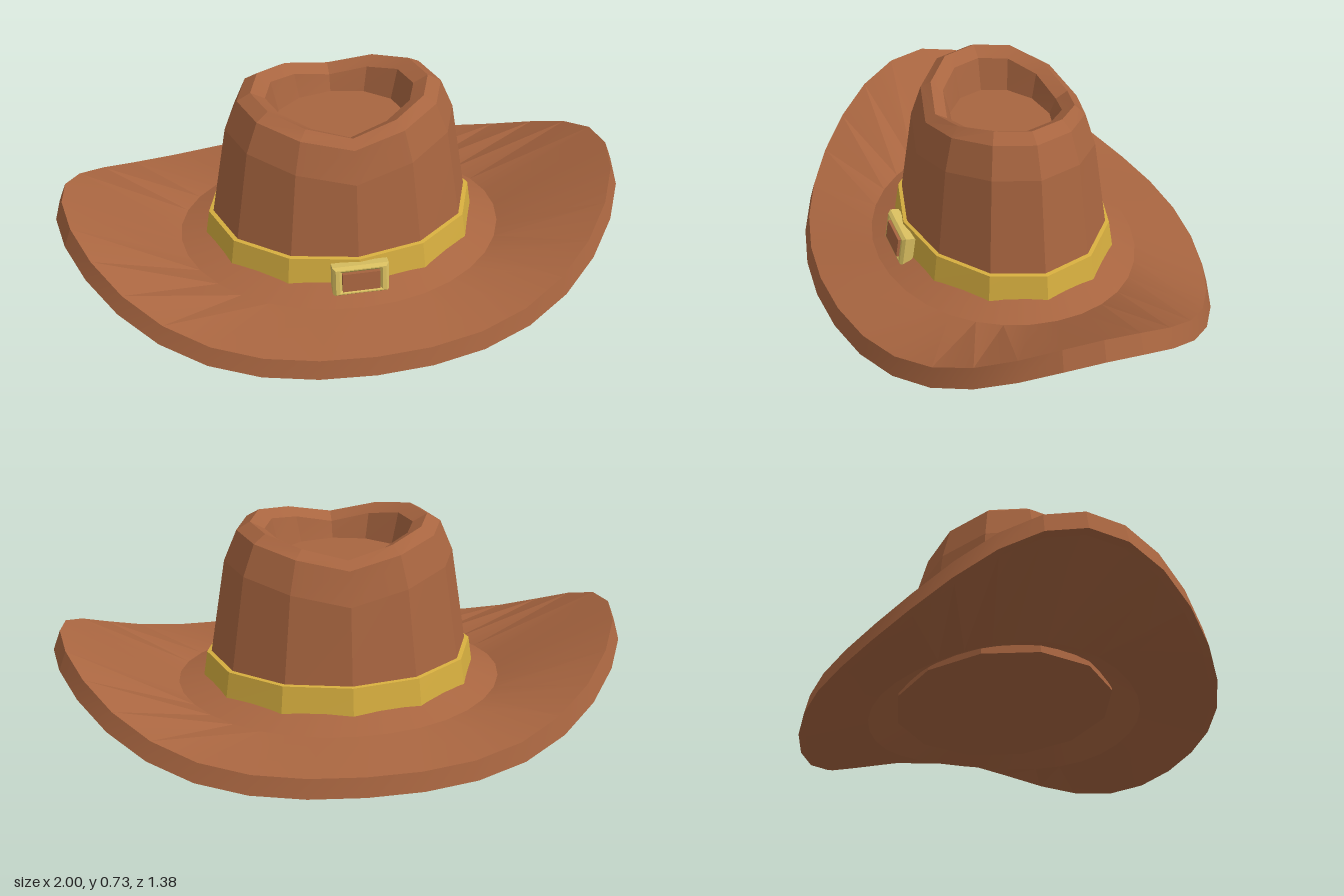
import * as THREE from 'three';
import { mergeGeometries, toCreasedNormals } from 'three/addons/utils/BufferGeometryUtils.js';

const leather = new THREE.MeshStandardMaterial({ color: 0xa86540 });
leather.name = 'brown leather';
const bandGold = new THREE.MeshStandardMaterial({ color: 0xd6ae3f });
bandGold.name = 'gold band';
const buckleGold = new THREE.MeshStandardMaterial({ color: 0xd9bf60 });
buckleGold.name = 'pale gold buckle';

// Skin over elliptical rings [rx, rz, yFront, ySide]; lift(a) blends front to side height.
// Each strip is creased on its own, so fine strips are smooth and coarse ones faceted.
function loft(rings, segments, lift) {
  const point = ([rx, rz, yFront, ySide], j) => {
    const a = (j / segments) * Math.PI * 2;
    return [rx * Math.cos(a), yFront + (ySide - yFront) * lift(a), rz * Math.sin(a)];
  };
  const strips = [];
  for (let i = 0; i < rings.length - 1; i++) {
    const low = rings[i], high = rings[i + 1];
    const positions = [];
    for (let j = 0; j < segments; j++) {
      const a = point(low, j), b = point(low, j + 1);
      const c = point(high, j), d = point(high, j + 1);
      if (low[0] > 0) positions.push(...a, ...c, ...b);
      if (high[0] > 0) positions.push(...b, ...c, ...d);
    }
    const strip = new THREE.BufferGeometry();
    strip.setAttribute('position', new THREE.Float32BufferAttribute(positions, 3));
    strips.push(toCreasedNormals(strip, 0.3));
  }
  return mergeGeometries(strips);
}

function rectangle(Type, w, h) {
  const r = new Type();
  r.moveTo(-w, -h);
  r.lineTo(w, -h);
  r.lineTo(w, h);
  r.lineTo(-w, h);
  r.closePath();
  return r;
}

export function createModel() {
  const hat = new THREE.Group();
  hat.name = 'hat';
  const add = (parent, name, geometry, material) => {
    const mesh = new THREE.Mesh(geometry, material);
    mesh.name = name;
    parent.add(mesh);
    return mesh;
  };

  // Brim: underside, rim and top, curling up at both sides
  const brimRings = [
    [0.45, 0.345, 0.135, 0.14],
    [0.57, 0.46, 0.058, 0.1],
    [0.97, 0.667, 0.002, 0.28],
    [1.0, 0.69, 0.01, 0.288],
    [0.975, 0.673, 0.077, 0.358],
    [0.57, 0.46, 0.115, 0.135],
    [0.45, 0.345, 0.165, 0.167],
  ];
  add(hat, 'brim', loft(brimRings, 32, (a) => Math.abs(Math.cos(a)) ** 3.7), leather);

  // Crown: closed foot, tapered wall, rounded shoulder, dipped rim and sunken top
  const crownRings = [
    [0, 0, 0.108, 0.108],
    [0.474, 0.37, 0.108, 0.108],
    [0.452, 0.352, 0.25, 0.25],
    [0.4, 0.31, 0.52, 0.59],
    [0.355, 0.275, 0.638, 0.7],
    [0.308, 0.24, 0.664, 0.728],
    [0.258, 0.198, 0.64, 0.7],
    [0.23, 0.175, 0.585, 0.585],
    [0, 0, 0.585, 0.585],
  ];
  add(hat, 'crown', loft(crownRings, 12, (a) => Math.min(1, Math.abs(Math.cos(a)) * 1.12)), leather);

  // Band around the foot of the crown
  const bandRings = [
    [0.484, 0.382, 0.135, 0.135],
    [0.468, 0.365, 0.248, 0.248],
    [0.45, 0.35, 0.25, 0.25],
  ];
  add(hat, 'band', loft(bandRings, 12, () => 0), bandGold);

  // Buckle: bevelled frame with a leather plate, leaning with the crown
  const buckle = new THREE.Group();
  buckle.name = 'buckle';
  const frame = rectangle(THREE.Shape, 0.088, 0.047);
  frame.holes.push(rectangle(THREE.Path, 0.075, 0.043));
  const frameGeometry = new THREE.ExtrudeGeometry(frame, {
    depth: 0.03, bevelEnabled: true, bevelThickness: 0.01, bevelSize: 0.01, bevelSegments: 1,
  });
  frameGeometry.translate(0, 0, -0.02);
  add(buckle, 'buckleFrame', frameGeometry, buckleGold);
  add(buckle, 'bucklePlate', new THREE.BoxGeometry(0.13, 0.068, 0.04), leather).position.z = 0.006;
  buckle.position.set(0, 0.183, 0.383);
  buckle.rotation.x = -0.14;
  hat.add(buckle);

  return hat;
}
